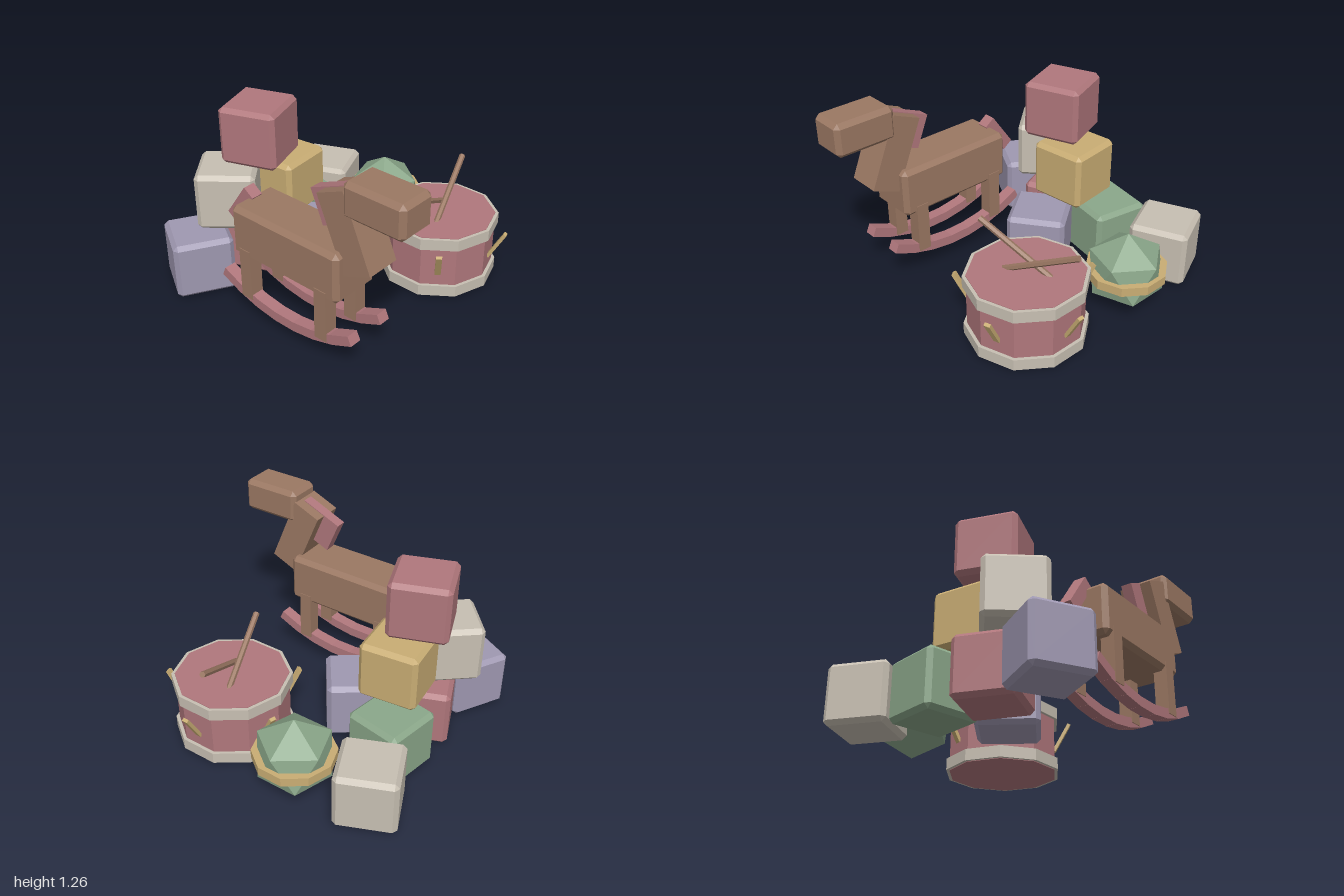
import * as THREE from 'three';
import { ConvexGeometry } from 'three/addons/geometries/ConvexGeometry.js';

const material = (name, color) => {
  const m = new THREE.MeshStandardMaterial({ color });
  m.name = name;
  return m;
};

// Flat facets on any geometry
function faceted(geometry) {
  const g = geometry.index ? geometry.toNonIndexed() : geometry;
  g.computeVertexNormals();
  return g;
}

// Box with every edge and corner cut off by c
function chamferBox(w, h, d, c) {
  const points = [];
  for (const x of [-w / 2, w / 2]) for (const y of [-h / 2, h / 2]) for (const z of [-d / 2, d / 2]) {
    const ix = x - Math.sign(x) * c, iy = y - Math.sign(y) * c, iz = z - Math.sign(z) * c;
    points.push(new THREE.Vector3(x, iy, iz), new THREE.Vector3(ix, y, iz), new THREE.Vector3(ix, iy, z));
  }
  return new ConvexGeometry(points);
}

function add(parent, name, geometry, mat, x = 0, y = 0, z = 0, rx = 0, ry = 0) {
  const mesh = new THREE.Mesh(geometry, mat);
  mesh.name = name;
  mesh.position.set(x, y, z);
  mesh.rotation.set(rx, ry, 0);
  parent.add(mesh);
  return mesh;
}

function group(parent, name, x, y, z) {
  const g = new THREE.Group();
  g.name = name;
  g.position.set(x, y, z);
  parent.add(g);
  return g;
}

export function createModel() {
  const brown = material('brown wood', 0x9b7863);
  const red = material('dusty red', 0xb0777c);
  const cream = material('cream', 0xc7bfb2);
  const purple = material('soft purple', 0x9f98b1);
  const ochre = material('ochre', 0xc9ad74);
  const green = material('sage green', 0x8ba78a);

  const root = new THREE.Group();
  root.name = 'toyPile';

  // Stacked toy blocks: colour, x, level, z, turn
  const blocks = group(root, 'blocks', 0, 0, 0);
  const blockShape = chamferBox(0.39, 0.39, 0.39, 0.028);
  [
    [purple, -0.695, 0, -0.71, -0.51],
    [red, -0.25, 0, -0.62, 0.38],
    [green, 0.175, 0, -0.635, -0.18],
    [purple, -0.05, 0, -0.23, 0.625],
    [cream, 0.61, 0, -0.755, 0.41],
    [cream, -0.435, 1, -0.67, 0.7],
    [ochre, -0.05, 1, -0.54, 0.11],
    [red, -0.22, 2, -0.585, 0.35],
  ].forEach(([mat, x, level, z, turn], i) =>
    add(blocks, `block${i + 1}`, blockShape, mat, x, 0.207 + level * 0.394, z, 0, turn));

  // Faceted ball with a band around it
  const ball = group(root, 'ball', 0.695, 0.265, -0.275);
  const ballShape = new THREE.IcosahedronGeometry(0.265, 0);
  ballShape.rotateZ(Math.atan(2 / (1 + Math.sqrt(5))));
  ballShape.rotateY(Math.PI);
  add(ball, 'ballBody', faceted(ballShape), green);
  add(ball, 'ballBand', faceted(new THREE.CylinderGeometry(0.264, 0.264, 0.06, 10)), ochre, 0, 0.005, 0);

  // Drum
  const drum = group(root, 'drum', 0.475, 0, 0.38);
  add(drum, 'drumBody', faceted(new THREE.CylinderGeometry(0.368, 0.368, 0.438, 10)), red, 0, 0.229, 0);
  const rimShape = faceted(new THREE.CylinderGeometry(0.39, 0.39, 0.077, 10));
  add(drum, 'bottomRim', rimShape, cream, 0, 0.052, 0);
  add(drum, 'topRim', rimShape, cream, 0, 0.406, 0);

  // Slanted pegs around the drum
  const pegShape = new THREE.BoxGeometry(0.04, 0.22, 0.022);
  for (let i = 0; i < 5; i++) {
    const holder = group(drum, `pegHolder${i + 1}`, 0, 0.272, 0);
    holder.rotation.y = Math.PI / 2 + (i * Math.PI * 2) / 5;
    add(holder, 'peg', pegShape, ochre, 0, 0, 0.402, 0.5);
  }

  // Crossed drumsticks, from raised end to the end on the skin
  const up = new THREE.Vector3(0, 1, 0);
  [
    [[0.125, 0.69, 0.445], [0.61, 0.43, 0.3]],
    [[0.825, 0.69, 0.3], [0.335, 0.43, 0.45]],
  ].forEach(([a, b], i) => {
    const from = new THREE.Vector3(...a), to = new THREE.Vector3(...b);
    const axis = to.clone().sub(from);
    const shape = faceted(new THREE.CylinderGeometry(0.02, 0.02, axis.length(), 6));
    const stick = add(root, `drumstick${i + 1}`, shape, brown);
    stick.position.copy(from).lerp(to, 0.5);
    stick.quaternion.setFromUnitVectors(up, axis.normalize());
  });

  // Rocking horse
  const horse = group(root, 'rockingHorse', -0.615, 0, 0);
  add(horse, 'body', chamferBox(0.34, 0.335, 0.85, 0.03), brown, 0, 0.632, 0.16);
  add(horse, 'neck', new THREE.BoxGeometry(0.225, 0.5, 0.205), brown, 0, 0.922, 0.587, -0.4);
  add(horse, 'head', chamferBox(0.255, 0.225, 0.42, 0.03), brown, 0, 1.148, 0.79);
  add(horse, 'mane', new THREE.BoxGeometry(0.075, 0.23, 0.3), red, 0, 1.022, 0.463, -0.4);
  add(horse, 'tail', new THREE.BoxGeometry(0.08, 0.28, 0.085), red, 0, 0.72, -0.32, 0.62);

  // Legs and curved rockers on both sides
  const legShape = new THREE.BoxGeometry(0.09, 0.35, 0.09);
  const slatShape = new THREE.BoxGeometry(0.08, 0.065, 0.165);
  for (const side of [-1, 1]) {
    const label = side > 0 ? 'left' : 'right';
    add(horse, `${label}FrontLeg`, legShape, brown, side * 0.13, 0.35, 0.46);
    add(horse, `${label}BackLeg`, legShape, brown, side * 0.13, 0.35, -0.155);
    const rocker = group(horse, `${label}Rocker`, side * 0.13, 1.245, 0.157);
    for (let i = -3; i <= 3; i++) {
      const a = i * 0.14;
      add(rocker, 'rockerSlat', slatShape, red, 0, -1.1 * Math.cos(a), 1.1 * Math.sin(a), -a);
    }
  }
  return root;
}
